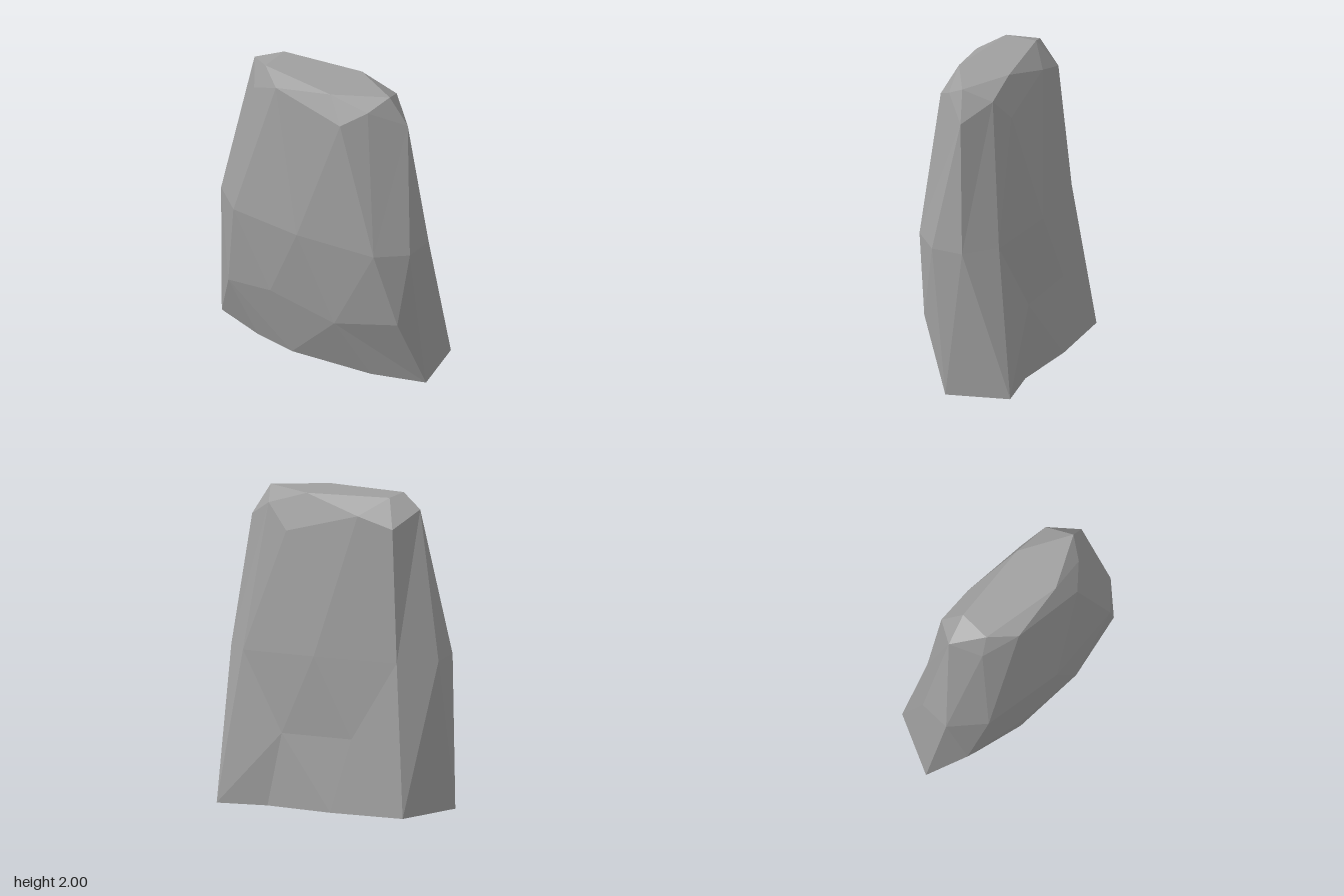
import * as THREE from 'three';

// Joins two closed loops into a band of triangles.
// Each step moves on along the lower loop ('l') or the upper loop ('u').
function stitch(out, lower, upper, steps) {
  let i = 0, j = 0;
  for (const step of steps) {
    const a = lower[i % lower.length], b = upper[j % upper.length];
    const c = step === 'l' ? lower[++i % lower.length] : upper[++j % upper.length];
    if (a !== b && b !== c && a !== c) out.push(...a, ...b, ...c);
  }
}

// Middle point of a loop, used to close it with a fan
function centre(loop) {
  return [0, 1, 2].map(k => loop.reduce((sum, p) => sum + p[k], 0) / loop.length);
}

export function createModel() {
  const stone = new THREE.MeshStandardMaterial({ color: 0xa0a0a0 });
  stone.name = 'grey stone';

  // Loops run from +x over the front to -x and back behind
  const base = [
    [0.78, 0, 0.03], [0.44, 0.01, 0.15], [-0.12, 0.02, 0.21], [-0.43, 0.01, 0.14], [-0.78, 0.02, 0.03],
    [-0.6, 0.01, -0.37], [-0.1, 0.01, -0.38], [0.36, 0.01, -0.33], [0.69, 0.01, -0.38],
  ];
  const waist = [
    [0.735, 0.97, 0.145], [0.57, 0.98, 0.31], [0.03, 1, 0.38], [-0.5, 0.98, 0.31], [-0.71, 0.99, 0.14],
    [-0.71, 0.98, -0.07], [-0.5, 0.98, -0.245], [0.05, 0.99, -0.305], [0.57, 0.98, -0.245], [0.735, 0.97, -0.065],
  ];
  // The lower loop shares the waist corners at the sides, where the facets run straight to the base
  const lower = [
    [0.69, 0.48, 0.22], [0.27, 0.4, 0.31], [-0.22, 0.48, 0.31], [-0.6, 0.39, 0.22],
    waist[4], waist[5], waist[6],
    [-0.22, 0.48, -0.32], [0.27, 0.48, -0.31],
    waist[8], waist[9], waist[0],
  ];
  const shoulder = [
    [0.62, 1.81, 0], [0.43, 1.92, 0.17], [0.3, 1.84, 0.29], [-0.2, 1.95, 0.275], [-0.43, 1.83, 0.18],
    [-0.55, 1.93, 0], [-0.44, 1.82, -0.18], [-0.2, 1.89, -0.185], [0.29, 1.76, -0.2], [0.44, 1.92, -0.14],
  ];
  const crown = [
    [0.51, 2, 0.04], [0.18, 2, 0.22], [-0.365, 2, 0.15], [-0.365, 2, -0.06], [0.18, 2, -0.13],
  ];

  const points = [];
  stitch(points, [centre(base)], base, 'u'.repeat(base.length)); // underside
  stitch(points, base, lower, 'ulluulluuluululluuluu');
  stitch(points, lower, waist, 'ulululululullulululull');
  stitch(points, waist, shoulder, 'luululululluulululul');
  stitch(points, shoulder, crown, 'lullullullullul');
  stitch(points, crown, [centre(crown)], 'l'.repeat(crown.length)); // flat top

  // Unshared corners give every facet its own flat normal
  const geometry = new THREE.BufferGeometry();
  geometry.setAttribute('position', new THREE.Float32BufferAttribute(points, 3));
  geometry.computeVertexNormals();

  const rock = new THREE.Mesh(geometry, stone);
  rock.name = 'standingStone';
  const model = new THREE.Group();
  model.name = 'rock';
  model.add(rock);
  return model;
}
